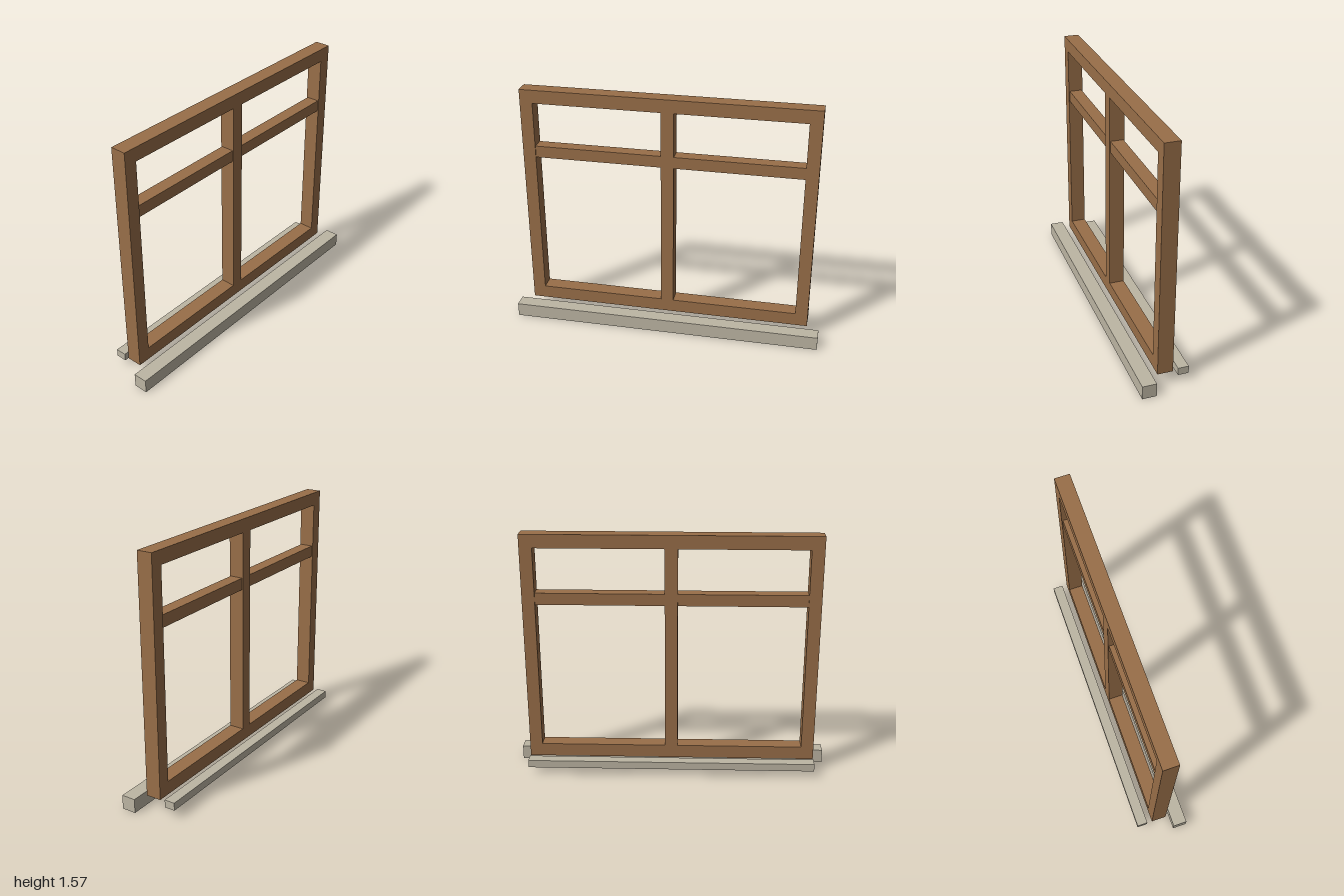
import * as THREE from 'three';

export function createModel() {
  const model = new THREE.Group();
  model.name = 'window';

  const wood = new THREE.MeshStandardMaterial({ color: 0x996f49 });
  wood.name = 'brown wood';
  const stone = new THREE.MeshStandardMaterial({ color: 0xbdb6a4 });
  stone.name = 'pale stone';

  // Box given by its extents on each axis
  function addBar(name, material, [x0, x1], [y0, y1], [z0, z1]) {
    const mesh = new THREE.Mesh(new THREE.BoxGeometry(x1 - x0, y1 - y0, z1 - z0), material);
    mesh.position.set((x0 + x1) / 2, (y0 + y1) / 2, (z0 + z1) / 2);
    mesh.name = name;
    model.add(mesh);
  }

  // Frame with central mullion: one extruded outline with two openings
  const W = 0.923, inner = 0.843, mullion = 0.04;
  const bottom = 0.09, top = 1.57, openBottom = 0.175, openTop = 1.485;
  const back = -0.059, front = 0.038;
  const rect = (Type, x0, x1, y0, y1) => new Type([
    new THREE.Vector2(x0, y0), new THREE.Vector2(x1, y0),
    new THREE.Vector2(x1, y1), new THREE.Vector2(x0, y1),
  ]);
  const outline = rect(THREE.Shape, -W, W, bottom, top);
  outline.holes.push(
    rect(THREE.Path, -inner, -mullion, openBottom, openTop),
    rect(THREE.Path, mullion, inner, openBottom, openTop),
  );
  const frameGeometry = new THREE.ExtrudeGeometry(outline, { depth: front - back, bevelEnabled: false });
  const frame = new THREE.Mesh(frameGeometry, wood);
  frame.position.z = back;
  frame.name = 'windowFrame';
  model.add(frame);

  // Transoms, set back slightly from the frame faces
  const transomY = [1.125, 1.2], transomZ = [back + 0.007, front - 0.007];
  addBar('leftTransom', wood, [mullion, inner], transomY, transomZ);
  addBar('rightTransom', wood, [-inner, -mullion], transomY, transomZ);

  // Outer sill in front and smaller ledge behind
  addBar('outerSill', stone, [-1, 1], [0, 0.089], [0.07, 0.16]);
  addBar('innerLedge', stone, [-W, W], [0.053, 0.102], [-0.16, -0.092]);

  return model;
}
